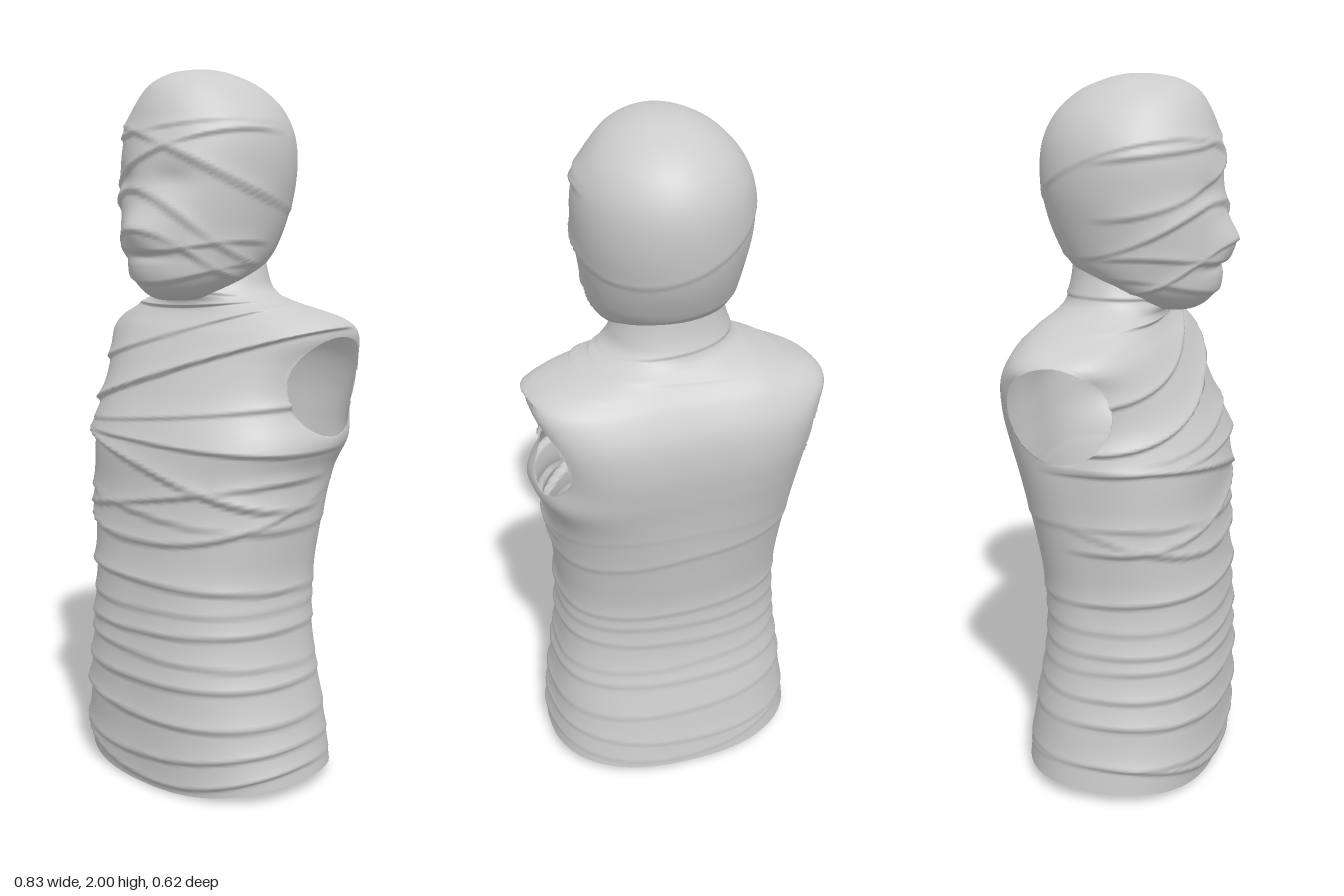
import * as THREE from 'three';

const material = new THREE.MeshStandardMaterial({ color: 0xcccccc, side: THREE.DoubleSide });

// Lofts rings bottom to top; each ring is [y, halfWidth, zFront, zBack, zWidest, backRoundness].
function loft(rings, rows, cols, adjust, inHole = () => false) {
  const curveA = new THREE.CatmullRomCurve3(rings.map(r => new THREE.Vector3(r[0], r[1], r[2])), false, 'catmullrom', 0.5);
  const curveB = new THREE.CatmullRomCurve3(rings.map(r => new THREE.Vector3(r[3], r[4], r[5])), false, 'catmullrom', 0.5);
  const positions = [], cut = [], index = [];
  const p = new THREE.Vector3();
  for (let i = 0; i <= rows; i++) {
    const a = curveA.getPoint(i / rows), b = curveB.getPoint(i / rows);
    for (let j = 0; j < cols; j++) {
      const t = (j / cols) * Math.PI * 2, s = Math.sin(t), c = Math.cos(t);
      const e = 2 / (c > 0 ? Math.min(b.z, 2.4) : b.z);
      const depth = c > 0 ? a.z - b.y : b.y - b.x;
      p.set(Math.sign(s) * Math.abs(s) ** e * Math.max(a.y, 0), a.x, b.y + Math.sign(c) * Math.abs(c) ** e * depth);
      adjust(p, s, c);
      cut.push(inHole(p));
      positions.push(p.x, p.y, p.z);
    }
  }
  for (let i = 0; i < rows; i++) for (let j = 0; j < cols; j++) {
    const k = (j + 1) % cols;
    const q = [i * cols + j, i * cols + k, (i + 1) * cols + k, (i + 1) * cols + j];
    if (q.every(v => cut[v])) continue;
    index.push(q[0], q[1], q[2], q[0], q[2], q[3]);
  }
  const g = new THREE.BufferGeometry();
  g.setAttribute('position', new THREE.Float32BufferAttribute(positions, 3));
  g.setIndex(index);
  g.computeVertexNormals();
  return g;
}

// Raised lower edges of bandages: [height, slope in x, bow in x, slope in z, depth, strength at back]
function wrapRelief(wraps, p, c) {
  let d = 0;
  for (const [y, slope, bow, tilt, depth, back] of wraps) {
    const edge = y + slope * p.x + bow * p.x * p.x + tilt * (p.z - 0.28);
    const dy = p.y - edge;
    const fade = THREE.MathUtils.lerp(back, 1, THREE.MathUtils.smoothstep(c, -0.35, 0.3));
    const lip = dy > 0 ? Math.exp(-dy / 0.035) : Math.exp(-((dy / 0.007) ** 2));
    d = Math.max(d, depth * lip * fade);
  }
  return d;
}

const torsoRings = [
  [0.025, 0.385, 0.275, -0.278, 0, 2.4], [0.12, 0.375, 0.29, -0.268, 0, 2.4],
  [0.24, 0.362, 0.297, -0.25, 0, 2.4], [0.36, 0.344, 0.297, -0.228, 0, 2.4],
  [0.48, 0.333, 0.293, -0.218, 0, 2.4], [0.6, 0.329, 0.288, -0.224, 0, 2.45],
  [0.72, 0.34, 0.28, -0.244, 0, 2.5], [0.84, 0.352, 0.275, -0.267, -0.01, 2.6],
  [0.95, 0.362, 0.274, -0.287, -0.03, 2.8], [1.03, 0.366, 0.262, -0.302, -0.05, 3],
  [1.12, 0.37, 0.225, -0.312, -0.08, 3.3], [1.21, 0.388, 0.185, -0.304, -0.1, 3.4],
  [1.285, 0.412, 0.145, -0.27, -0.1, 3.2], [1.325, 0.392, 0.115, -0.237, -0.095, 2.8],
  [1.352, 0.31, 0.1, -0.212, -0.075, 2.4], [1.373, 0.23, 0.103, -0.195, -0.05, 2.1],
  [1.4, 0.178, 0.12, -0.182, -0.03, 2], [1.45, 0.158, 0.11, -0.17, -0.03, 2],
  [1.52, 0.145, 0.1, -0.163, -0.03, 2],
];

const torsoWraps = [
  [1.175, 0.34, 0, 0, 0.02, 0], [1.285, 0.3, 0, 0, 0.012, 0], [1.06, 0.13, 0, 0, 0.012, 0],
  [0.935, -0.26, -0.2, 0, 0.02, 0], [1.0, -0.02, -0.1, 0, 0.016, 0], [0.83, 0.2, 0, 0, 0.016, 0],
  [0.72, 0.02, 0.1, -0.3, 0.014, 0.1], [0.8, -0.1, 0, 0, 0.012, 0.3],
  [0.61, -0.02, 0, 0.05, 0.014, 0.4], [0.53, 0.03, 0, 0, 0.008, 0.6], [0.465, 0.05, 0, 0, 0.012, 0.4],
  [0.4, -0.03, 0, 0.04, 0.01, 0.4], [0.325, 0.01, 0, 0, 0.013, 0.4], [0.22, -0.03, 0.1, 0, 0.014, 0.3],
  [0.11, 0.04, 0.15, 0, 0.014, 0.3], [0.05, -0.05, 0.3, 0, 0.012, 0.2],
  [1.37, 0.05, 0.3, 0.05, 0.012, 0.3], [1.41, -0.1, 0, 0, 0.01, 0.5],
];

const headRings = [
  [1.375, 0, 0.13, 0.13, 0.13, 2], [1.38, 0.06, 0.185, 0.07, 0.13, 2],
  [1.405, 0.115, 0.225, 0.0, 0.09, 2], [1.445, 0.16, 0.25, -0.09, 0.05, 2],
  [1.495, 0.187, 0.258, -0.16, 0.02, 2], [1.55, 0.205, 0.268, -0.198, 0.01, 2],
  [1.62, 0.222, 0.264, -0.228, 0.01, 2], [1.7, 0.235, 0.256, -0.245, 0, 2],
  [1.78, 0.238, 0.25, -0.247, 0, 2], [1.845, 0.226, 0.236, -0.232, 0, 2],
  [1.905, 0.193, 0.218, -0.196, 0, 2], [1.955, 0.143, 0.186, -0.137, 0.02, 2],
  [1.985, 0.084, 0.135, -0.066, 0.03, 2], [1.997, 0.038, 0.075, -0.015, 0.03, 2],
  [2.0, 0, 0.03, 0.03, 0.03, 2],
];

const headWraps = [
  [1.84, 0.13, 0.5, 0.15, 0.01, 0], [1.765, 0.42, 0, 0.1, 0.011, 0], [1.83, -0.35, 0, 0.35, 0.012, 0.3],
  [1.68, -0.25, -1.8, 0.38, 0.013, 0.3], [1.575, 0, -2.5, 0.35, 0.012, 0],
  [1.515, 0, 1.2, 0.1, 0.012, 0], [1.43, 0, 1.5, 0, 0.008, 0.2],
];

export function createModel() {
  const model = new THREE.Group();
  const add = (name, geometry) => {
    const mesh = new THREE.Mesh(geometry, material);
    mesh.name = name;
    model.add(mesh);
  };

  // Hollow torso with an open hem and two oval arm openings
  const hole = { y: 1.15, z: -0.092, ry: 0.136, rz: 0.147 };
  const inArmHole = p => {
    if (Math.abs(p.x) < 0.2) return false;
    const dy = p.y - hole.y, dz = p.z - hole.z;
    const r = Math.hypot(dy / hole.ry, dz / hole.rz);
    if (r >= 1) return false;
    p.y = hole.y + dy / Math.max(r, 1e-3);
    p.z = hole.z + dz / Math.max(r, 1e-3);
    return true;
  };
  add('wrappedTorso', loft(torsoRings, 230, 160, (p, s, c) => {
    const d = wrapRelief(torsoWraps, p, c);
    p.x += s * d;
    p.z += c * d;
    // Bulging bandage under the left arm, shallow groove down the spine
    if (s > 0) p.x += 0.03 * s * Math.exp(-(((p.y - 1.0) / 0.06) ** 2));
    if (c < 0) p.z += 0.01 * Math.exp(-((p.x / 0.12) ** 2)) * THREE.MathUtils.smoothstep(p.y, 0.6, 1.1);
    // Uneven hem and a slightly lower right shoulder
    const low = 1 - THREE.MathUtils.smoothstep(p.y, 0, 0.2);
    p.y += low * (0.022 - 0.045 * Math.max(c, 0) ** 2 - 0.02 * Math.max(-c, 0) ** 2);
    p.y = Math.max(p.y, 0);
    if (p.x < -0.2) p.y -= 0.13 * (-0.2 - p.x) * THREE.MathUtils.smoothstep(p.y, 1.2, 1.32);
  }, inArmHole));

  // Bandaged head with a covered nose, sunken eyes and mouth
  const bump = (p, x, y, w, h) => Math.exp(-(((p.x - x) / w) ** 2) - ((p.y - y) / h) ** 2);
  add('wrappedHead', loft(headRings, 130, 128, (p, s, c) => {
    const d = wrapRelief(headWraps, p, c);
    p.x += s * d;
    p.z += c * d;
    if (c > 0) {
      p.z += 0.026 * bump(p, 0, 1.575, 0.07, 0.05);
      p.z -= 0.012 * (bump(p, 0.09, 1.7, 0.05, 0.035) + bump(p, -0.09, 1.7, 0.05, 0.035));
      p.z -= 0.01 * bump(p, 0, 1.5, 0.09, 0.015);
    }
    p.x += 0.008;
  }));

  return model;
}
